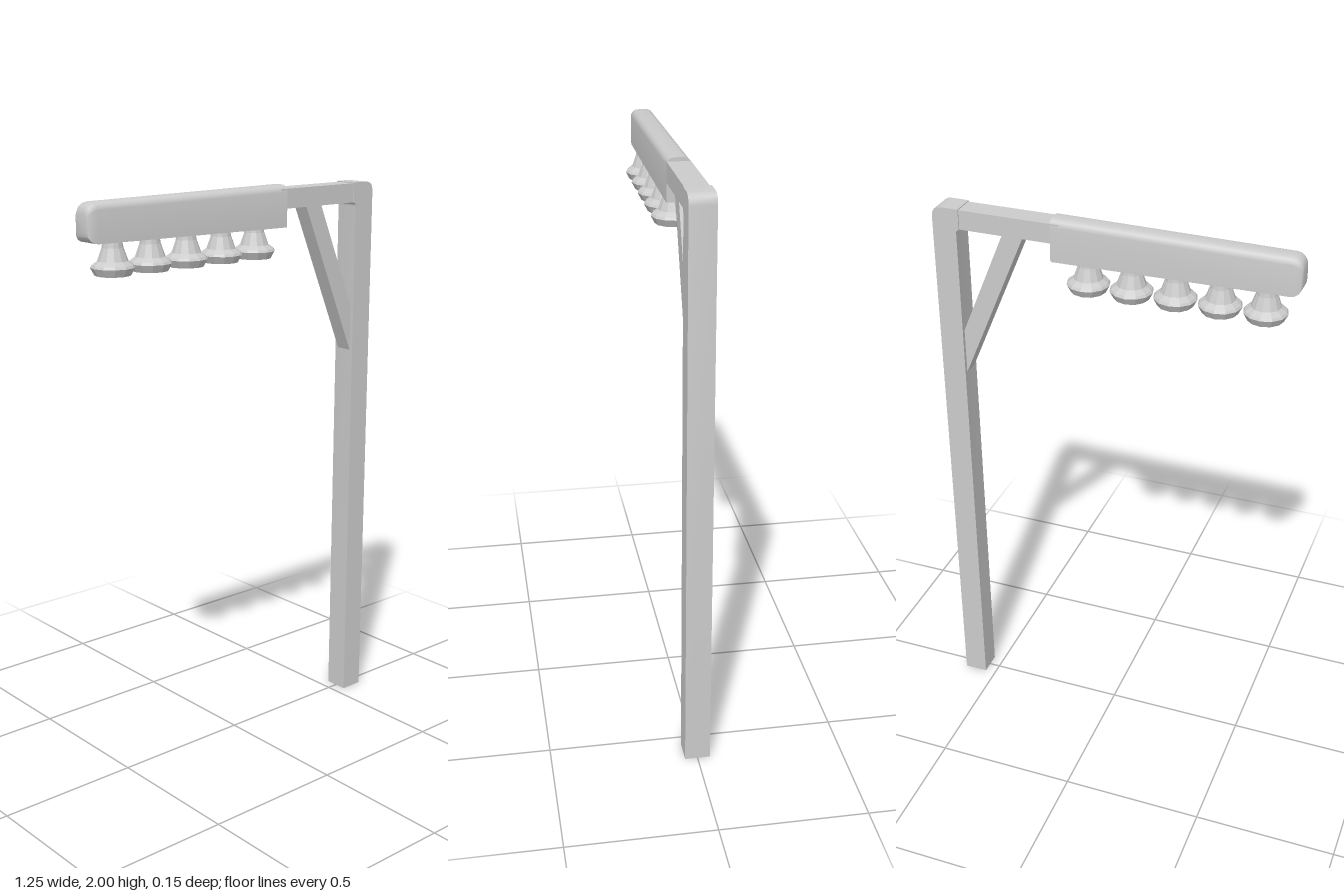
import * as THREE from 'three';
import { toCreasedNormals } from 'three/addons/utils/BufferGeometryUtils.js';

const grey = new THREE.MeshStandardMaterial({ color: 0xcccccc });
const greyFlat = new THREE.MeshStandardMaterial({ color: 0xcccccc, flatShading: true, side: THREE.DoubleSide });

function addMesh(parent, name, geometry, material = grey) {
  const mesh = new THREE.Mesh(geometry, material);
  mesh.name = name;
  parent.add(mesh);
  return mesh;
}

// Extrudes a front-view shape, centred on z = 0
function slab(shape, depth) {
  const g = new THREE.ExtrudeGeometry(shape, { depth, bevelEnabled: false, curveSegments: 4 });
  g.translate(0, 0, -depth / 2);
  return toCreasedNormals(g, 0.6);
}

// Cross-section of the housing: round top edges, square bottom edges
function housingSection(x, bottom, top, half) {
  const r = 0.024;
  const ring = [[x, bottom, half]];
  for (let i = 0; i <= 4; i++) {
    const a = (i / 4) * Math.PI / 2;
    ring.push([x, top - r + r * Math.sin(a), half - r + r * Math.cos(a)]);
  }
  return [...ring, ...ring.map(([px, y, z]) => [px, y, -z]).reverse()];
}

// Joins the rings along x and caps both ends
function loft(rings) {
  const n = rings[0].length;
  const pos = rings.flat(2);
  const index = [];
  for (let s = 0; s < rings.length - 1; s++) {
    for (let i = 0; i < n; i++) {
      const a = s * n + i, b = s * n + (i + 1) % n;
      index.push(a, a + n, b, b, a + n, b + n);
    }
  }
  const last = (rings.length - 1) * n;
  for (let i = 1; i < n - 1; i++) {
    index.push(0, i, i + 1);
    index.push(last, last + i + 1, last + i);
  }
  const g = new THREE.BufferGeometry();
  g.setAttribute('position', new THREE.Float32BufferAttribute(pos, 3));
  g.setIndex(index);
  return toCreasedNormals(g, 0.7);
}

export function createModel() {
  const model = new THREE.Group();
  model.name = 'streetLight';

  // Square post with a rounded outer top corner and a short stub for the arm
  const post = new THREE.Shape();
  post.moveTo(0.54, 0);
  post.lineTo(0.625, 0);
  post.lineTo(0.625, 1.955);
  post.quadraticCurveTo(0.625, 1.99, 0.59, 1.99);
  post.lineTo(0.53, 1.99);
  post.lineTo(0.53, 1.918);
  post.quadraticCurveTo(0.54, 1.918, 0.54, 1.905);
  addMesh(model, 'post', slab(post, 0.087));

  // Horizontal arm
  const arm = addMesh(model, 'arm', new THREE.BoxGeometry(0.36, 0.068, 0.078));
  arm.position.set(0.36, 1.953, 0);

  // Diagonal brace
  const brace = new THREE.Shape();
  brace.moveTo(0.305, 1.925);
  brace.lineTo(0.545, 1.365);
  brace.lineTo(0.545, 1.53);
  brace.lineTo(0.378, 1.925);
  addMesh(model, 'brace', slab(brace, 0.06));

  // Lamp housing: rounded at the free end, slightly taller toward the arm
  const rings = [];
  for (let i = 0; i <= 4; i++) {
    const a = (i / 4) * Math.PI / 2;
    const inset = 1 - Math.sin(a);
    rings.push(housingSection(-0.627 + 0.035 * (1 - Math.cos(a)),
      1.865 + 0.035 * inset, 1.993 - 0.035 * inset, 0.04 - 0.012 * inset));
  }
  rings.push(housingSection(0.207, 1.855, 2, 0.04));
  addMesh(model, 'housing', loft(rings));

  // Row of hollow bell-shaped lamps, profile from inside to outside
  const profile = [
    [0, 1.835], [0.024, 1.83], [0.042, 1.795], [0.05, 1.757], [0.06, 1.757],
    [0.073, 1.782], [0.068, 1.79], [0.05, 1.803], [0.035, 1.845], [0.031, 1.87],
  ].map(([r, y]) => new THREE.Vector2(r, y));
  const bell = new THREE.LatheGeometry(profile, 12);
  const lamps = new THREE.Group();
  lamps.name = 'lamps';
  for (let i = 0; i < 5; i++) {
    addMesh(lamps, 'lamp', bell, greyFlat).position.x = -0.51 + 0.15 * i;
  }
  model.add(lamps);

  return model;
}
